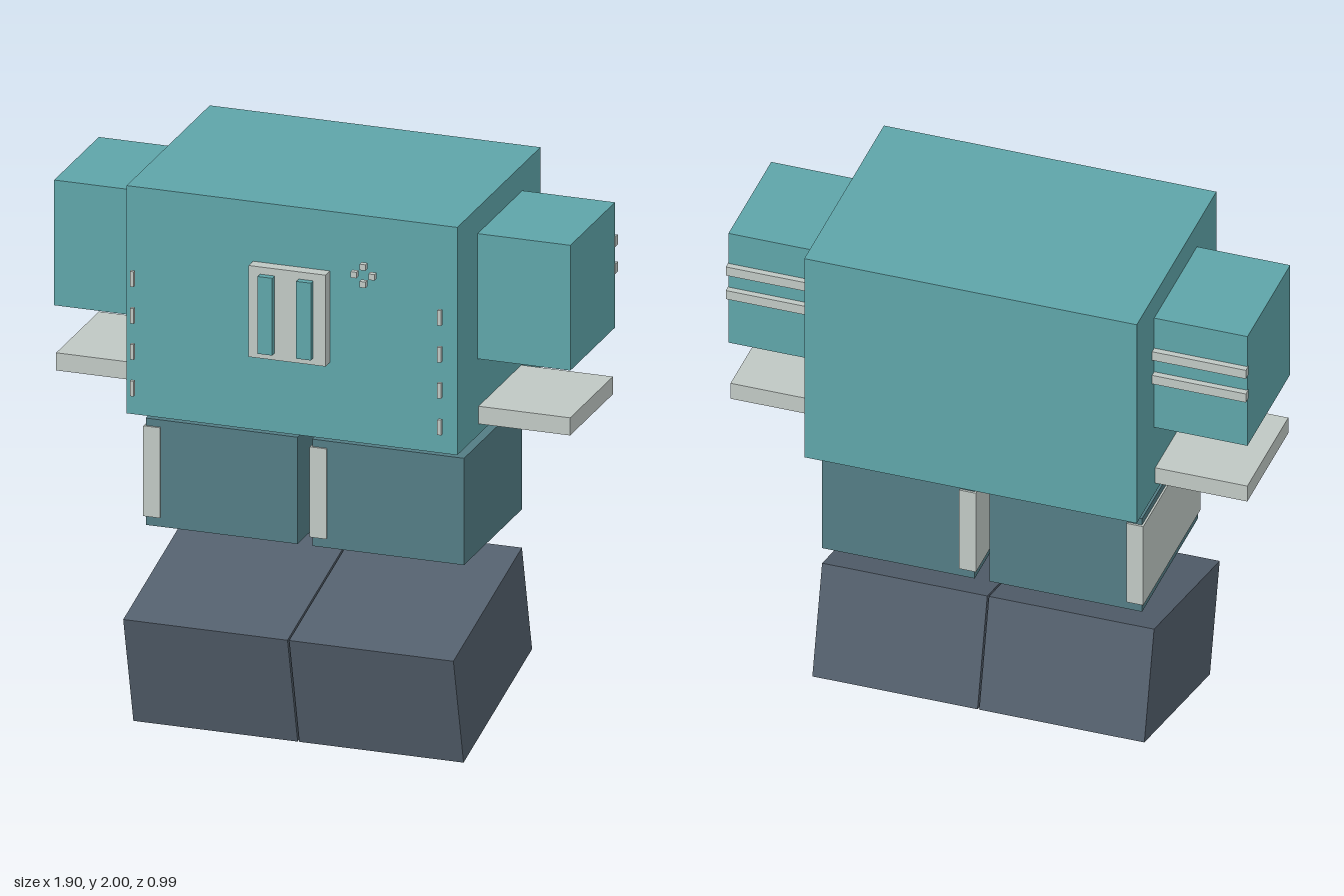
import * as THREE from 'three';

const material = (name, color) => {
  const m = new THREE.MeshStandardMaterial({ color });
  m.name = name;
  return m;
};

export function createModel() {
  const teal = material('teal', 0x5fa5a9);
  const slateTeal = material('slate teal', 0x537c84);
  const darkSlate = material('dark slate', 0x535f6c);
  const paleGrey = material('pale grey', 0xc0c8c4);

  const model = new THREE.Group();
  model.name = 'blockyRobot';

  // Box given by its extents along each axis
  const box = (name, mat, [x0, x1], [y0, y1], [z0, z1]) => {
    const mesh = new THREE.Mesh(new THREE.BoxGeometry(x1 - x0, y1 - y0, z1 - z0), mat);
    mesh.name = name;
    mesh.position.set((x0 + x1) / 2, (y0 + y1) / 2, (z0 + z1) / 2);
    model.add(mesh);
    return mesh;
  };

  // Body
  box('body', teal, [-0.608, 0.608], [1.16, 2], [-0.497, 0.347]);

  // Chest panel with two upright bars
  box('chestPanel', paleGrey, [-0.143, 0.14], [1.443, 1.78], [0.347, 0.392]);
  for (const x of [-0.1, 0.042]) {
    box('chestBar', teal, [x, x + 0.054], [1.47, 1.755], [0.396, 0.421]);
  }

  // Badge of four small cubes in a cross
  for (const [dx, dy] of [[0, 1], [0, -1], [1, 0], [-1, 0]]) {
    const x = 0.313 + dx * 0.033, y = 1.835 + dy * 0.032;
    box('badgeCube', paleGrey, [x - 0.011, x + 0.011], [y - 0.011, y + 0.011], [0.475, 0.496]);
  }

  for (const side of [-1, 1]) {
    const label = side > 0 ? 'left' : 'right';
    const span = (a, b) => (side > 0 ? [a, b] : [-b, -a]);

    // Arm, its two rear bands and the hand slab below
    box(label + 'Arm', teal, span(0.608, 0.949), [1.443, 1.905], [-0.312, 0.141]);
    for (const y of [1.66, 1.76]) {
      box(label + 'ArmBand', paleGrey, span(0.608, 0.951), [y - 0.018, y + 0.018], [-0.335, -0.307]);
    }
    box(label + 'Hand', paleGrey, span(0.605, 0.945), [1.2, 1.265], [-0.302, 0.132]);

    // Column of small tabs along the front edge
    for (const y of [1.279, 1.414, 1.547, 1.683]) {
      box(label + 'FrontTab', paleGrey, span(0.558, 0.572), [y - 0.028, y + 0.028], [0.399, 0.413]);
    }

    // Leg with a pale panel on its right end
    const legX = side > 0 ? 0.025 : -0.587;
    box(label + 'Leg', slateTeal, [legX, legX + 0.558], [0.703, 1.097], [-0.38, 0.21]);
    box(label + 'LegPanel', paleGrey, [legX - 0.007, legX + 0.054], [0.737, 1.07], [-0.388, 0.217]);

    // Foot, tipped forward
    const foot = box(label + 'Foot', darkSlate, span(0.003, 0.607), [0.0835, 0.5065], [-0.3735, 0.3435]);
    foot.rotation.x = 0.247;
  }

  return model;
}
